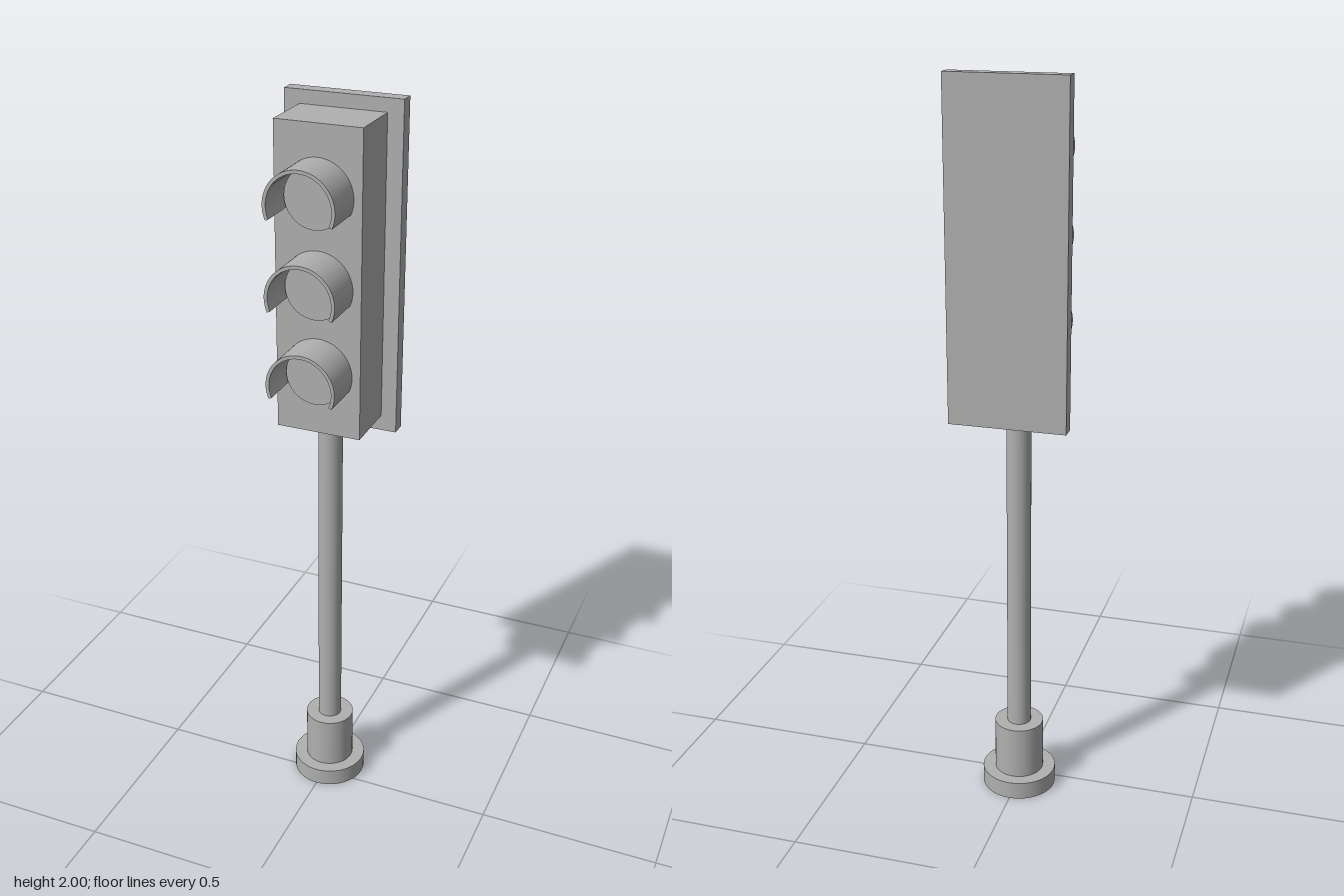
import * as THREE from 'three';

export function createModel() {
  const model = new THREE.Group();
  model.name = 'trafficLight';
  const grey = new THREE.MeshStandardMaterial({ color: 0xb0b0b0 });
  grey.name = 'plain grey';

  const add = (name, geometry, x, y, z) => {
    const mesh = new THREE.Mesh(geometry, grey);
    mesh.name = name;
    mesh.position.set(x, y, z);
    model.add(mesh);
    return mesh;
  };

  // Stand: foot, collar and pole share one axis
  const poleZ = -0.043;
  const post = (name, r, y0, y1) =>
    add(name, new THREE.CylinderGeometry(r, r, y1 - y0, 40), 0, (y0 + y1) / 2, poleZ);
  post('foot', 0.103, 0, 0.05);
  post('collar', 0.068, 0.05, 0.2);
  post('pole', 0.033, 0.2, 1.17);

  // Signal head and the wider plate behind it
  add('housing', new THREE.BoxGeometry(0.23, 0.805, 0.157), 0, 1.5625, -0.0385);
  add('backPlate', new THREE.BoxGeometry(0.314, 0.882, 0.04), 0, 1.559, -0.137);

  // Visor section: an arc open at the bottom
  const dip = 0.41;
  const section = new THREE.Shape();
  section.absarc(0, 0, 0.093, -dip, Math.PI + dip, false);
  section.absarc(0, 0, 0.084, Math.PI + dip, -dip, true);
  const visor = new THREE.ExtrudeGeometry(section, { depth: 0.117, bevelEnabled: false, curveSegments: 24 });

  // Lens disc, turned to face the front
  const lens = new THREE.CylinderGeometry(0.079, 0.079, 0.024, 40).rotateX(Math.PI / 2);

  ['top', 'middle', 'bottom'].forEach((place, i) => {
    const y = 1.791 - i * 0.231;
    add(place + 'Lens', lens, 0, y, 0.051);
    add(place + 'Visor', visor, 0, y, 0.04);
  });

  return model;
}
